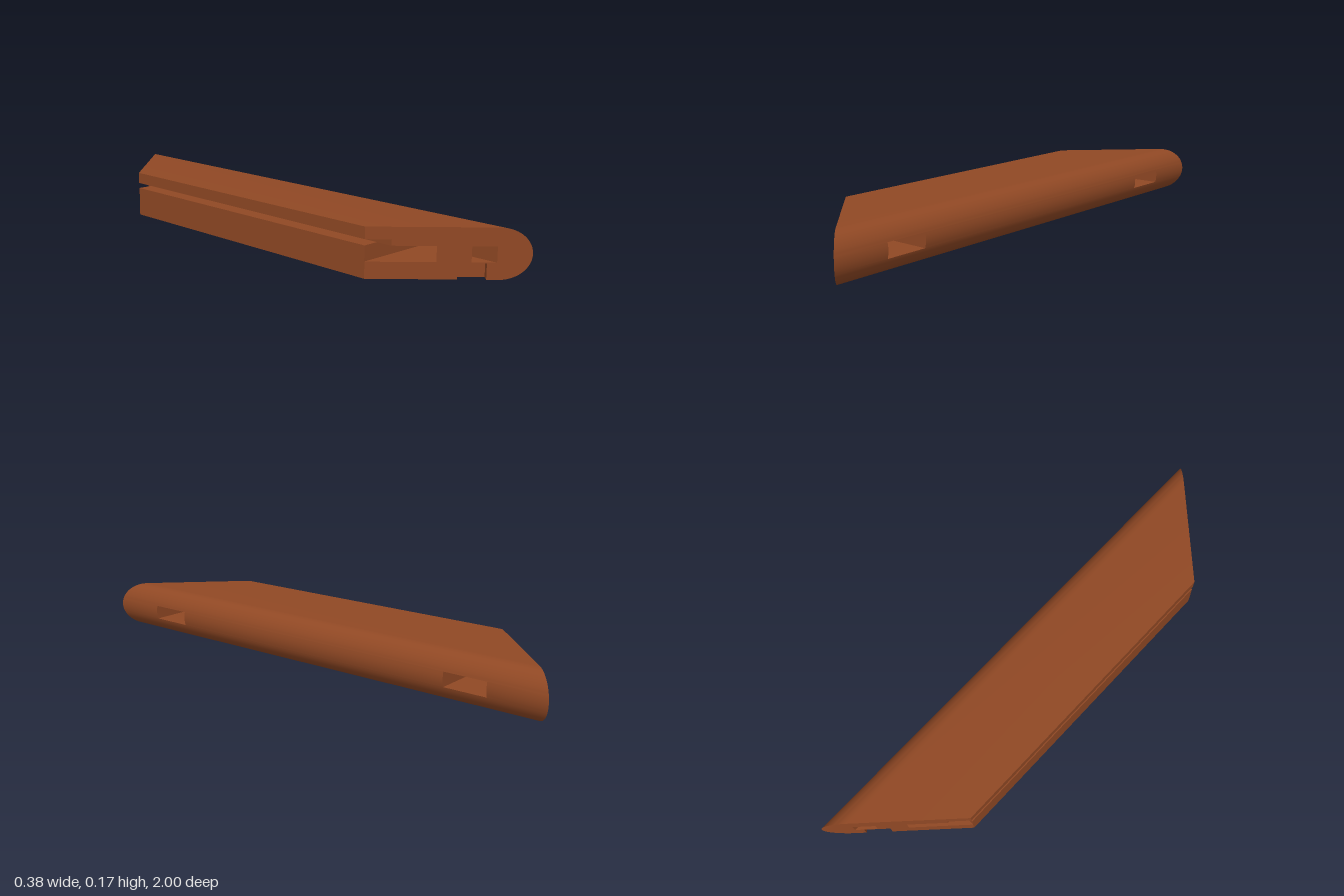
import * as THREE from 'three';
import { mergeGeometries, toCreasedNormals } from 'three/addons/utils/BufferGeometryUtils.js';

const IN = -0.192, OUT = 0.19;      // inner and outer long edges
const HALF = 0.0875;                // half the bar's height
const ROUND = 0.075;                // depth of the rounded outer edge
const MITRE = 0.81;                 // 45 degree ends: |z| = MITRE + x

const onMitre = (x, depth = 0) => [x + depth, MITRE + x - depth];
const mirror = (half) => [...half, ...half.map(([x, z]) => [x, -z]).reverse()];
const flip = (points) => points.map(([x, z]) => [x, -z]);
const angleAt = (y) => Math.asin(THREE.MathUtils.clamp(y / HALF - 1, -1, 1));

// Horizontal slice of the bar from a plan outline, with its outer edge rounded
function layer(y0, y1, outline, hole) {
  const toPoints = (list) => list.map(([x, z]) => new THREE.Vector2(x, -z));
  const shape = new THREE.Shape(toPoints(outline));
  if (hole) shape.holes.push(new THREE.Path(toPoints(hole)));
  const a0 = angleAt(y0), a1 = angleAt(y1);
  const steps = Math.max(1, Math.ceil((a1 - a0) / 0.12));
  const geometry = new THREE.ExtrudeGeometry(shape, { depth: 1, steps, bevelEnabled: false });
  const p = geometry.attributes.position;
  for (let i = 0; i < p.count; i++) {
    const angle = THREE.MathUtils.lerp(a0, a1, p.getZ(i));
    let x = p.getX(i), z = -p.getY(i);
    if (x > OUT - 0.001) {
      x = OUT - ROUND + ROUND * Math.cos(angle);
      if (Math.abs(z) > 0.99) z = Math.sign(z) * (MITRE + x);
    }
    p.setXYZ(i, x, HALF + HALF * Math.sin(angle), z);
  }
  return geometry;
}

export function createModel() {
  const group = new THREE.Group();
  group.name = 'mitredFrameBar';
  const wood = new THREE.MeshStandardMaterial({ color: 0x904824 });
  wood.name = 'reddish brown wood';

  const plain = mirror([onMitre(IN), onMitre(OUT)]);

  // Underside: a notch in each mitred end and a recess in the middle
  const notched = mirror([
    onMitre(IN), onMitre(0.02), onMitre(0.02, 0.021),
    onMitre(0.087, 0.021), onMitre(0.087), onMitre(OUT),
  ]);
  const recess = [[-0.125, -0.045], [-0.085, -0.045], [-0.085, 0.045], [-0.125, 0.045]];

  // Slot level: crosswise slots separate the middle from the two end pieces
  const middle = mirror([[IN, 0.617], [OUT, 0.617]]);
  const end = [
    onMitre(-0.028), onMitre(0.052), [0.052, 0.8], [0.11, 0.8],
    onMitre(0.11), onMitre(OUT), [OUT, 0.782],
  ];

  // Groove level: set back along the inner edge
  const grooved = mirror([onMitre(-0.131), onMitre(OUT)]);

  const layers = [
    layer(0, 0.055, notched, recess),
    layer(0.055, 0.058, plain),
    layer(0.058, 0.112, middle),
    layer(0.058, 0.112, end),
    layer(0.058, 0.112, flip(end)),
    layer(0.112, 0.133, grooved),
    layer(0.133, 2 * HALF, plain),
  ];
  const bar = new THREE.Mesh(toCreasedNormals(mergeGeometries(layers), 0.5), wood);
  bar.name = 'bar';
  group.add(bar);
  return group;
}
